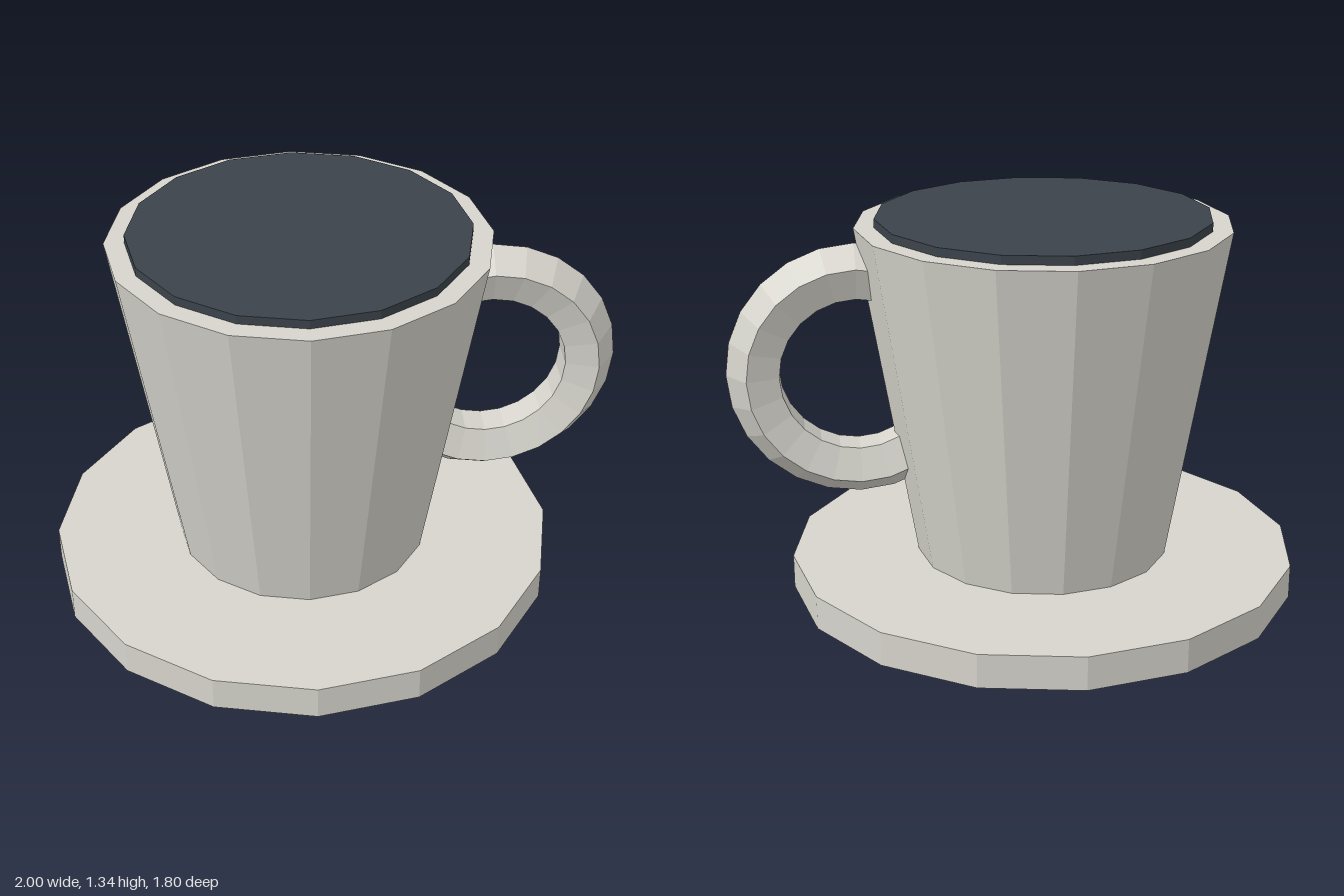
import * as THREE from 'three';

export function createModel() {
  const model = new THREE.Group();
  model.name = 'cupOnSaucer';

  const ceramic = new THREE.MeshStandardMaterial({ color: 0xd6d4cc, flatShading: true });
  ceramic.name = 'ceramic';
  const drink = new THREE.MeshStandardMaterial({ color: 0x3b424a, flatShading: true });
  drink.name = 'darkDrink';

  const SIDES = 16;
  const CUP_X = -0.1; // the handle shifts the cup off centre

  const add = (name, geometry, material, x, y) => {
    const mesh = new THREE.Mesh(geometry, material);
    mesh.name = name;
    mesh.position.set(x, y, 0);
    model.add(mesh);
  };

  // Sixteen-sided disc or cone section between two heights
  const round = (name, top, bottom, y0, y1, material) =>
    add(name, new THREE.CylinderGeometry(top, bottom, y1 - y0, SIDES), material, CUP_X, (y0 + y1) / 2);

  round('saucer', 0.9, 0.9, 0, 0.12, ceramic);
  round('cup', 0.65, 0.45, 0.12, 1.31, ceramic);
  round('drink', 0.58, 0.58, 1.29, 1.34, drink);

  // Handle: five-sided ring whose ends are buried in the cup wall
  const step = Math.PI / 12;
  const handle = new THREE.TorusGeometry(0.35, 0.1, 5, 17, 17 * step);
  handle.rotateZ(-9 * step);
  add('handle', handle, ceramic, 0.55, 0.81);

  return model;
}
